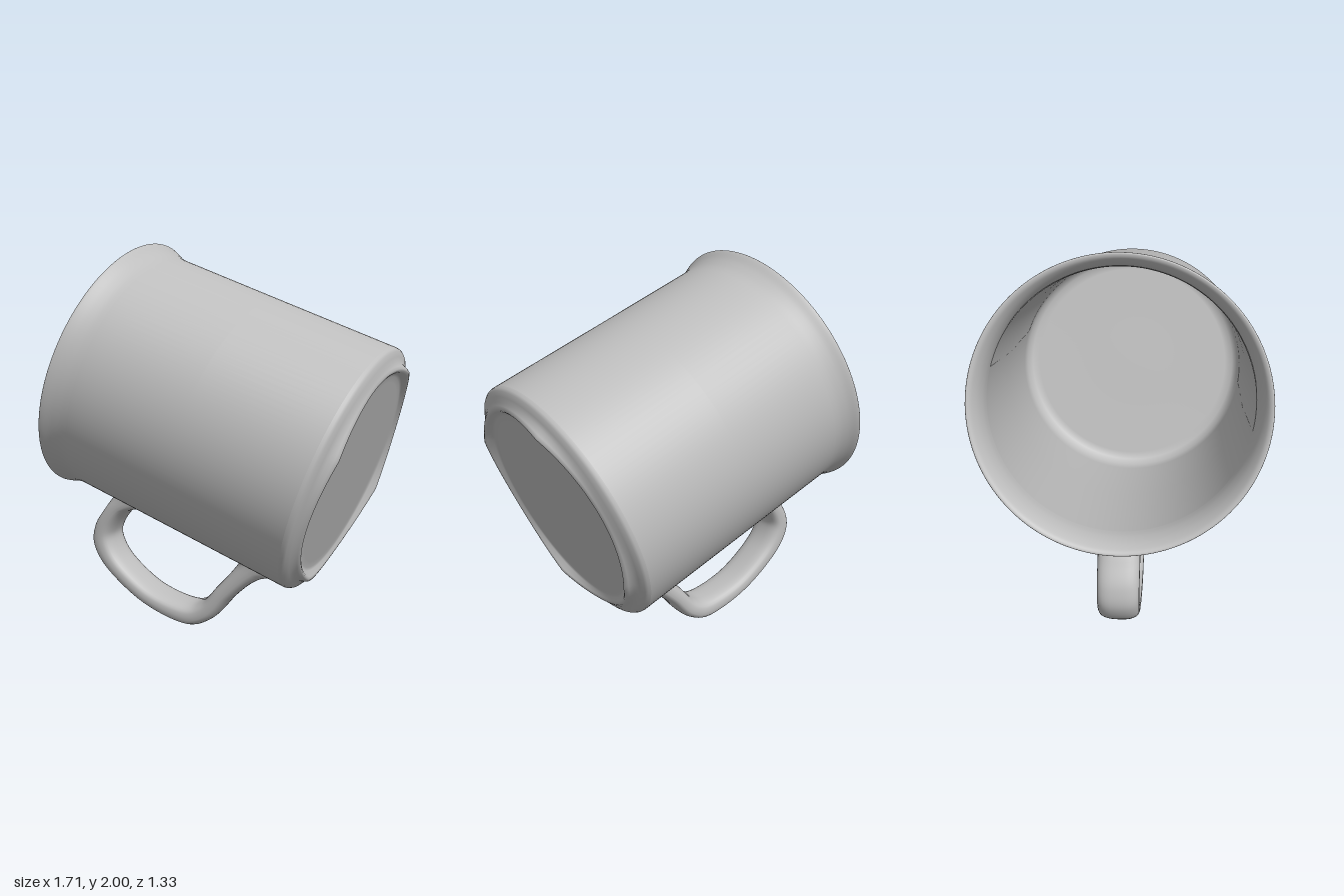
import * as THREE from 'three';
import { mergeVertices } from 'three/addons/utils/BufferGeometryUtils.js';

const enamel = new THREE.MeshStandardMaterial({ color: 0xbdbdbd });
enamel.name = 'plain grey';

const v2 = ([x, y]) => new THREE.Vector2(x, y);

function addMesh(parent, name, geometry) {
  const mesh = new THREE.Mesh(geometry, enamel);
  mesh.name = name;
  parent.add(mesh);
}

// Outer wall, flared lip, inner wall and inside floor; y = 0 is the mouth
function cupBody() {
  const lip = new THREE.SplineCurve([
    [0.631, -0.14], [0.634, -0.1], [0.645, -0.055], [0.661, -0.018], [0.664, -0.003],
    [0.655, 0], [0.638, -0.012], [0.617, -0.05], [0.603, -0.1], [0.598, -0.15],
  ].map(v2)).getPoints(36);
  const profile = [
    v2([0.63, -1.315]), v2([0.63, -0.7]), ...lip,
    ...[[0.595, -0.7], [0.595, -1.2], [0.585, -1.25], [0.56, -1.275], [0.52, -1.285], [0, -1.285]].map(v2),
  ];
  return new THREE.LatheGeometry(profile, 128);
}

// Bevelled underside with a foot ridge that rises to four points
function cupBase() {
  const profile = [
    [0, -1.362], [0.3, -1.362], [0.47, -1.362], [0.5, -1.362], [0.515, -1.364], [0.53, -1.368],
    [0.54, -1.37], [0.55, -1.369], [0.56, -1.365], [0.572, -1.361], [0.595, -1.352],
    [0.618, -1.34], [0.627, -1.329], [0.63, -1.315],
  ].map(v2);
  let geometry = new THREE.LatheGeometry(profile, 128);
  geometry.deleteAttribute('normal');
  geometry.deleteAttribute('uv');
  geometry = mergeVertices(geometry, 1e-4);
  const p = geometry.attributes.position;
  for (let i = 0; i < p.count; i++) {
    const r = Math.hypot(p.getX(i), p.getZ(i));
    const weight = Math.max(0, 1 - ((r - 0.543) / 0.03) ** 2);
    const angle = Math.atan2(p.getX(i), p.getZ(i)) - 0.39;
    const peak = 1 - Math.abs(Math.sin(2 * angle));
    p.setY(i, p.getY(i) - weight * (0.008 + 0.025 * peak));
    const spread = 1 + weight * 0.012 * (peak - 0.4);
    p.setX(i, p.getX(i) * spread);
    p.setZ(i, p.getZ(i) * spread);
  }
  geometry.computeVertexNormals();
  return geometry;
}

// Handle swept between its outer and inner edge curves
function handleGeometry() {
  const edges = [ // outer x, outer y, inner x, inner y
    [-0.70, 0.75, -0.40, 0.64], [-0.67, 0.69, -0.48, 0.615], [-0.73, 0.60, -0.60, 0.58],
    [-0.80, 0.49, -0.68, 0.48], [-0.81, 0.37, -0.69, 0.40], [-0.72, 0.235, -0.62, 0.29],
    [-0.50, 0.08, -0.45, 0.17], [-0.25, 0.003, -0.25, 0.12], [-0.10, 0.05, -0.145, 0.15],
    [0.02, 0.185, -0.06, 0.245], [0.12, 0.28, 0.03, 0.35], [0.20, 0.33, 0.07, 0.415],
    [0.29, 0.35, 0.05, 0.46], [0.32, 0.40, 0.02, 0.50],
  ];
  const outer = new THREE.SplineCurve(edges.map(e => v2([e[0], e[1]])));
  const inner = new THREE.SplineCurve(edges.map(e => v2([e[2], e[3]])));
  const rows = 104, sides = 28;
  const positions = [], index = [];
  const round = n => Math.sign(n) * Math.abs(n) ** 0.75;
  for (let i = 0; i <= rows; i++) {
    const t = i / rows;
    const o = outer.getPoint(t), n = inner.getPoint(t);
    const centre = o.clone().add(n).multiplyScalar(0.5);
    const half = o.clone().sub(centre);
    const width = 0.1 + 0.012 * Math.abs(2 * t - 1) ** 10;
    for (let j = 0; j < sides; j++) {
      const a = (j / sides) * Math.PI * 2;
      const c = round(Math.cos(a));
      positions.push(centre.x + half.x * c, centre.y + half.y * c, width * round(Math.sin(a)));
      if (i === rows) continue;
      const k = i * sides + j, l = i * sides + (j + 1) % sides;
      index.push(k, k + sides, l, l, k + sides, l + sides);
    }
  }
  const geometry = new THREE.BufferGeometry();
  geometry.setAttribute('position', new THREE.Float32BufferAttribute(positions, 3));
  geometry.setIndex(index);
  geometry.computeVertexNormals();
  return geometry;
}

export function createModel() {
  const model = new THREE.Group();
  model.name = 'mug';

  // Cup tipped over so that the mouth points left and slightly up
  const cup = new THREE.Group();
  cup.name = 'cup';
  cup.position.set(-0.645, 1.37, 0);
  cup.rotation.z = 1.242;
  addMesh(cup, 'cupBody', cupBody());
  addMesh(cup, 'cupBase', cupBase());
  model.add(cup);

  addMesh(model, 'handle', handleGeometry());
  return model;
}
